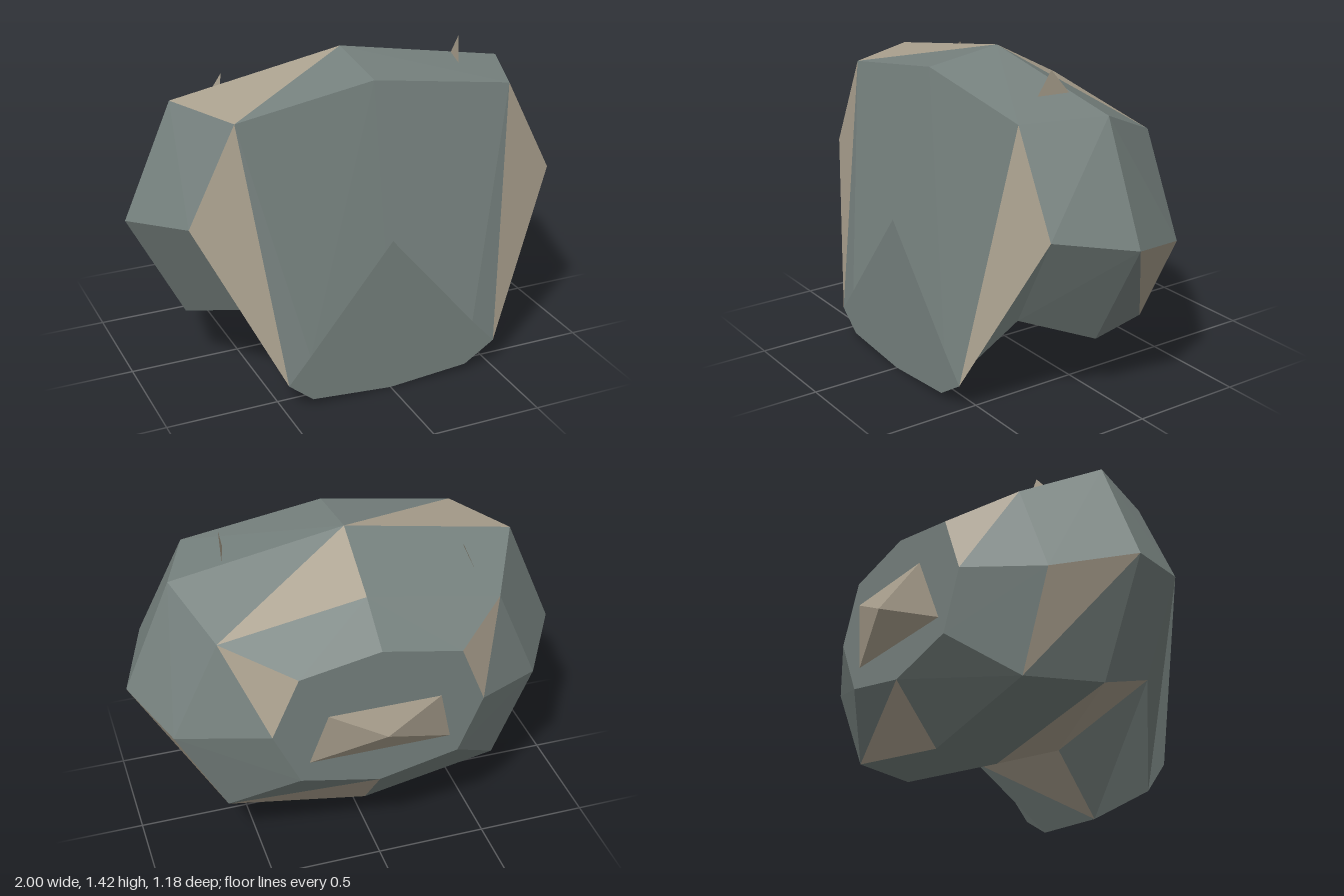
import * as THREE from 'three';

export function createModel() {
  const group = new THREE.Group();
  group.name = 'rock';
  const mat = (name, color) => {
    const m = new THREE.MeshStandardMaterial({ color, flatShading: true, side: THREE.DoubleSide });
    m.name = name;
    return m;
  };
  const slate = mat('slate grey', 0x76817e);
  const sand = mat('sandstone beige', 0xaba18f);

  // Mesh from a list of triangles, each three [x, y, z] corners
  const addFacets = (name, tris, material) => {
    const geo = new THREE.BufferGeometry();
    geo.setAttribute('position', new THREE.Float32BufferAttribute(tris.flat(2), 3));
    geo.computeVertexNormals();
    const mesh = new THREE.Mesh(geo, material);
    mesh.name = name;
    group.add(mesh);
  };

  // Cross-sections from front to back; each point is [left x, right x, y] from top to bottom
  const rings = [
    { z: 0.59, p: [[0, 0, 0.25], [0.4, 0.38, 0.25], [0.51, 0.48, 0.13], [0.37, 0.37, 0.04], [0, 0, 0.01]] },
    { z: 0.39, p: [[0, 0, 1.37], [0.65, 0.62, 1.27], [0.87, 0.83, 0.84], [0.65, 0.62, 0.43], [0, 0, 0.3]] },
    { z: 0.04, p: [[0, 0, 1.42], [0.78, 0.78, 1.28], [1, 1, 0.77], [0.73, 0.75, 0.285], [0, 0, 0.16]] },
    { z: -0.28, p: [[0, 0, 1.25], [0.65, 0.61, 1.14], [0.86, 0.8, 0.7], [0.64, 0.62, 0.28], [0, 0, 0.16]] },
    { z: -0.49, p: [[0, 0, 1.11], [0.36, 0.36, 1.04], [0.48, 0.47, 0.77], [0.36, 0.36, 0.51], [0, 0, 0.43]] },
  ];
  const point = (i, j, s) => {
    const [l, r, y] = rings[i].p[j];
    return [s > 0 ? l : -r, y, rings[i].z];
  };

  // Beige facets: side, ring, strip, triangle of the quad
  const beige = new Set([
    'L011', 'R011', 'L031', 'R101', 'L201', 'L221', 'R221',
    'L311', 'R311', 'L330', 'R130', 'R131',
  ]);
  // Triangle 0 or 1 of the split quad; the diagonal turns halfway along the body
  const split = (i, a, b, c, d) => (i < 2 ? [[a, b, d], [b, c, d]] : [[a, b, c], [a, c, d]]);
  const greyTris = [];
  const beigeTris = [];
  for (const s of [1, -1]) {
    for (let i = 0; i < 4; i++) {
      for (let j = 0; j < 4; j++) {
        const quad = split(i, point(i, j, s), point(i, j + 1, s), point(i + 1, j + 1, s), point(i + 1, j, s));
        quad.forEach((t, k) => {
          const key = (s > 0 ? 'L' : 'R') + i + j + k;
          const target = beige.has(key) || (key === 'L330' && k === 0) ? beigeTris : greyTris;
          target.push(s > 0 ? t : [t[0], t[2], t[1]]);
        });
      }
    }
  }
  addFacets('rockBody', greyTris, slate);
  addFacets('weatheredFacets', beigeTris, sand);

  // Flat end faces, fanned from the lowest point
  const endFace = (name, i, top) => {
    const tris = [];
    for (const s of [1, -1]) {
      const pts = [0, 1, 2, 3].map((j) => point(i, j, s));
      pts[0] = [0, top, rings[i].z];
      for (let j = 0; j < 3; j++) {
        const t = [point(i, 4, s), pts[j + 1], pts[j]];
        const faceFront = (s > 0) === (i === 0);
        tris.push(faceFront ? t : [t[0], t[2], t[1]]);
      }
    }
    addFacets(name, tris, slate);
  };
  endFace('frontFace', 0, 0.72);
  endFace('backFace', 4, 1.11);

  // Raised four-sided chip on the back
  const tip = [0, 0.74, -0.59];
  const rim = [[0.25, 0.87, -0.545], [0.32, 0.6, -0.49], [-0.32, 0.6, -0.49], [-0.25, 0.87, -0.545]];
  addFacets('backChip', rim.map((p, k) => [p, rim[(k + 1) % 4], tip]), sand);

  // Thin shards standing on the top
  addFacets('leftShard', [[[0.505, 1.32, 0.19], [0.54, 1.325, 0.055], [0.53, 1.43, 0.14]]], sand);
  addFacets('rightShard', [[[-0.54, 1.21, -0.16], [-0.52, 1.28, -0.06], [-0.5, 1.32, -0.1]]], sand);

  return group;
}
